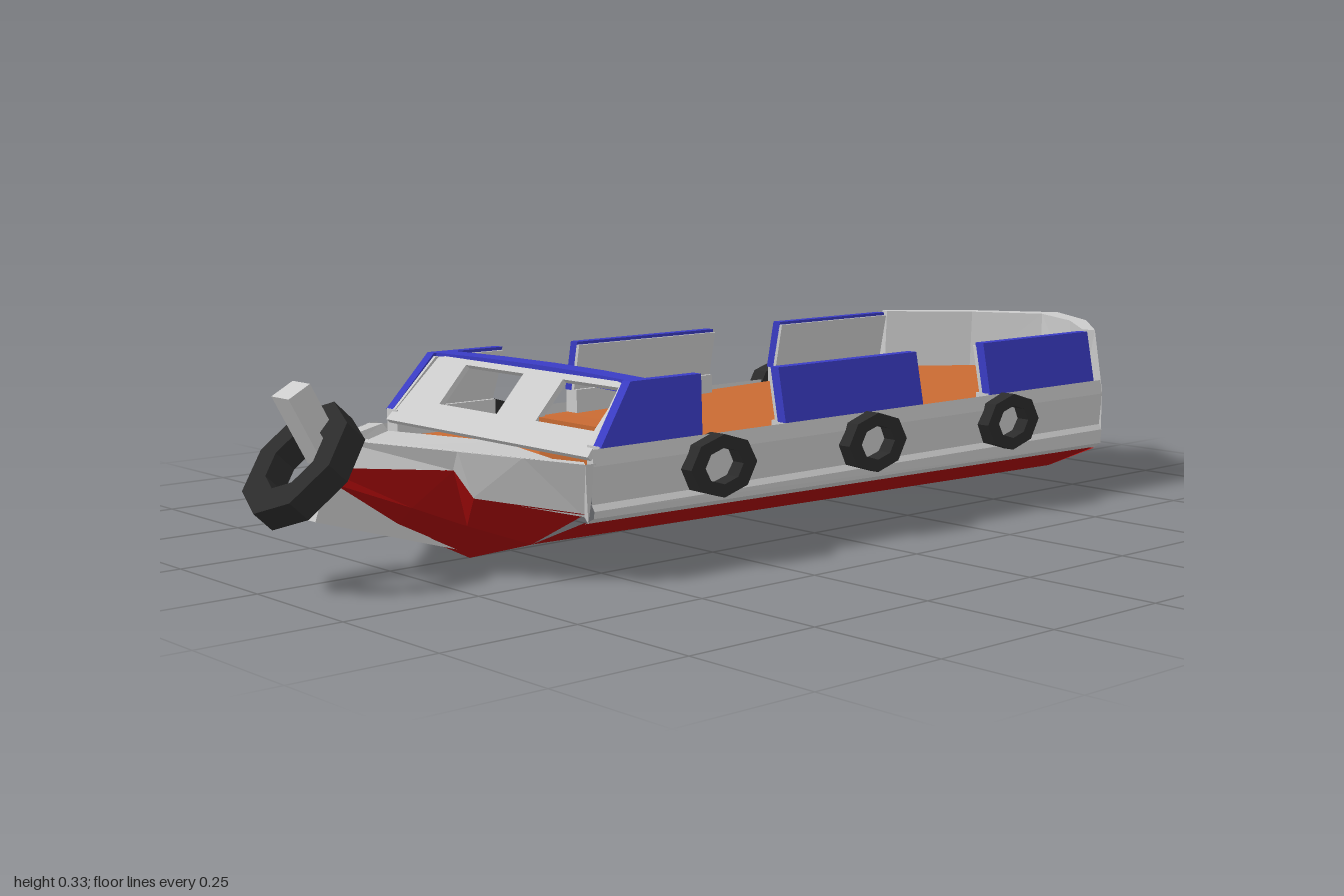
import * as THREE from 'three';

const mat = (color, side = THREE.DoubleSide) => new THREE.MeshStandardMaterial({ color, flatShading: true, side });
const GREY = mat(0xcccccc), RED = mat(0xaa0a0a), BLUE = mat(0x3a3cc4), ORANGE = mat(0xc86a32), RUBBER = mat(0x2b2b2b);
const GREY_OUTSIDE = mat(0xcccccc, THREE.FrontSide);

// Surface through rows of [x, y, z] points; the mirrored copy flips z and the winding
function loft(rows, mirror = false) {
  const pos = [];
  const tri = (p, q, r) => (mirror ? [p, r, q] : [p, q, r]).forEach(([x, y, z]) => pos.push(x, y, mirror ? -z : z));
  for (let i = 0; i + 1 < rows.length; i++) {
    for (let j = 0; j + 1 < rows[i].length; j++) {
      const a = rows[i][j], b = rows[i + 1][j], c = rows[i + 1][j + 1], d = rows[i][j + 1];
      tri(a, b, d);
      tri(b, c, d);
    }
  }
  const g = new THREE.BufferGeometry();
  g.setAttribute('position', new THREE.Float32BufferAttribute(pos, 3));
  g.computeVertexNormals();
  return g;
}

const points2 = (points) => points.map(([x, y]) => new THREE.Vector2(x, y));

// Plate cut from an x-y outline, from z to z + depth
function plate(points, z, depth) {
  return new THREE.ExtrudeGeometry(new THREE.Shape(points2(points)), { depth, bevelEnabled: false }).translate(0, 0, z);
}

// Eight-sided tyre facing z, with a square-cut tread
function tyre(rx, ry, hole, depth) {
  const ring = (k) => points2(Array.from({ length: 8 }, (_, i) => {
    const a = (i * Math.PI) / 4;
    return [Math.cos(a) * rx * k, Math.sin(a) * ry * k];
  }));
  const s = new THREE.Shape(ring(1));
  s.holes.push(new THREE.Path(ring(hole)));
  return new THREE.ExtrudeGeometry(s, { depth, bevelEnabled: false }).translate(0, 0, -depth / 2);
}

export function createModel() {
  const model = new THREE.Group();
  const add = (name, geometry, material) => {
    const m = new THREE.Mesh(geometry, material);
    m.name = name;
    m.position.z = 0.004;
    model.add(m);
    return m;
  };
  const both = (name, rows, material) => {
    add(name + 'Left', loft(rows), material);
    add(name + 'Right', loft(rows, true), material);
  };

  // Long hull sides with a shallow groove, and the sheer strake above them
  const side = (x, low) => [[x, low, 0.29], [x, low + 0.012, 0.314], [x, 0.122, 0.316], [x, 0.132, 0.309], [x, 0.195, 0.315]];
  both('hullSide', [side(-0.57, 0.098), side(0.75, 0.082)], GREY);
  both('sheerStrake', [
    [[-0.57, 0.195, 0.315], [-0.57, 0.222, 0.31]],
    [[0.75, 0.195, 0.315], [0.75, 0.222, 0.31]],
  ], GREY_OUTSIDE);

  // Red bottom strakes, open along the middle
  both('bottomStrake', [
    [[-0.59, 0.05, 0.175], [-0.57, 0.1, 0.29]],
    [[0.76, 0.03, 0.175], [0.76, 0.082, 0.29]],
  ], RED);

  // High faceted end at +x: outside, rim and inner wall
  both('highBow', [
    [[0.778, 0.12, 0.29], [0.75, 0.2, 0.315], [0.75, 0.322, 0.293], [0.74, 0.322, 0.27], [0.74, 0.19, 0.275]],
    [[0.89, 0.093, 0.172], [0.91, 0.185, 0.172], [0.9, 0.322, 0.155], [0.87, 0.322, 0.135], [0.87, 0.19, 0.14]],
    [[0.89, 0.093, 0], [1, 0.185, 0], [1, 0.322, 0], [0.945, 0.322, 0], [0.945, 0.19, 0]],
  ], GREY);
  both('bowCheek', [
    [[0.75, 0.082, 0.29], [0.75, 0.094, 0.314], [0.75, 0.2, 0.315]],
    [[0.76, 0.08, 0.29], [0.778, 0.12, 0.29], [0.75, 0.2, 0.315]],
  ], GREY);
  both('bowWallEnd', [
    [[0.75, 0.2, 0.315], [0.75, 0.322, 0.293]],
    [[0.74, 0.19, 0.275], [0.74, 0.322, 0.27]],
  ], GREY);
  both('bowBottom', [
    [[0.76, 0, 0], [0.76, 0.03, 0.175], [0.76, 0.08, 0.29], [0.778, 0.12, 0.29]],
    [[0.89, 0.093, 0], [0.89, 0.093, 0.172], [0.89, 0.093, 0.172], [0.89, 0.093, 0.172]],
  ], RED);

  // Low pointed end at -x: grey sides, red bottom, sunken deck inside a rim
  both('noseSide', [
    [[-0.88, 0.19, 0], [-0.86, 0.235, 0]],
    [[-0.72, 0.185, 0.14], [-0.72, 0.218, 0.153]],
    [[-0.7, 0.14, 0.165], [-0.65, 0.209, 0.234]],
    [[-0.57, 0.11, 0.29], [-0.585, 0.2, 0.312]],
    [[-0.57, 0.1, 0.3], [-0.565, 0.2, 0.315]],
  ], GREY);
  both('noseBottom', [
    [[-0.88, 0.165, 0], [-0.88, 0.17, 0], [-0.88, 0.19, 0]],
    [[-0.74, 0.075, 0], [-0.76, 0.12, 0.08], [-0.72, 0.185, 0.142]],
    [[-0.67, 0.04, 0], [-0.68, 0.085, 0.12], [-0.7, 0.14, 0.168]],
    [[-0.59, 0, 0], [-0.59, 0.05, 0.175], [-0.57, 0.115, 0.293]],
  ], RED);
  both('noseRimAndDeck', [
    [[-0.86, 0.235, 0], [-0.83, 0.235, 0], [-0.82, 0.218, 0], [-0.82, 0.218, 0]],
    [[-0.585, 0.2, 0.312], [-0.57, 0.2, 0.29], [-0.565, 0.187, 0.28], [-0.52, 0.195, 0]],
  ], GREY);
  add('noseKeel', plate([[-0.87, 0.19], [-0.9, 0.105], [-0.62, 0.02], [-0.64, 0.06]], -0.012, 0.024), GREY);

  // Deck floor, dropping gently towards the low end
  const halfFloor = [[[-0.56, 0.168, 0.303], [-0.56, 0.168, 0]], [[0.745, 0.2, 0.303], [0.745, 0.2, 0]],
    [[0.875, 0.203, 0.14], [0.875, 0.203, 0]], [[0.946, 0.205, 0], [0.946, 0.205, 0]]];
  both('deckFloor', halfFloor, ORANGE);

  // Side panels leaning inwards: blue outside, grey lining, grey ledge below
  const panels = [
    [[-0.55, 0.222], [-0.33, 0.222], [-0.315, 0.322], [-0.47, 0.322]],
    [[-0.135, 0.222], [0.22, 0.222], [0.22, 0.318], [-0.135, 0.318]],
    [[0.41, 0.222], [0.73, 0.222], [0.73, 0.32], [0.41, 0.32]],
  ];
  for (const s of [1, -1]) {
    const lean = new THREE.Matrix4().set(1, 0, 0, 0, 0, 1, 0, 0, 0, -0.2 * s, 1, 0.044 * s, 0, 0, 0, 1);
    panels.forEach((p, i) => {
      const lining = p.map(([x, y]) => [x, y > 0.3 ? y - 0.006 : y]);
      const [x0, x1] = [p[0][0], p[1][0]];
      const ledge = [[x0, 0.175], [x1, 0.175], [x1, 0.224], [x0, 0.224]];
      add('sidePanel' + i, plate(p, s * 0.299 - 0.01, 0.02).applyMatrix4(lean), BLUE);
      add('panelLining' + i, plate(lining, s * 0.286 - 0.004, 0.008).applyMatrix4(lean), GREY);
      add('panelLedge' + i, plate(ledge, s * 0.289 - 0.016, 0.032), GREY);
    });
  }

  // Sloping windscreen frame with two openings
  const frame = new THREE.Shape(points2([[-0.29, 0], [0.29, 0], [0.275, 0.15], [-0.275, 0.15]]));
  for (const [a, b] of [[-0.265, -0.11], [0, 0.17]]) {
    frame.holes.push(new THREE.Path(points2([[a, 0.05], [a, 0.138], [b, 0.138], [b, 0.05]])));
  }
  const screen = new THREE.Mesh(new THREE.ExtrudeGeometry(frame, { depth: 0.01, bevelEnabled: false }), GREY);
  screen.name = 'windscreenFrame';
  screen.rotation.x = -0.74;
  const windscreen = new THREE.Group();
  windscreen.name = 'windscreen';
  windscreen.add(screen);
  windscreen.rotation.y = Math.PI / 2;
  windscreen.scale.z = -1;
  windscreen.position.set(-0.555, 0.2, 0.004);
  model.add(windscreen);

  // Blue bar over the windscreen, slightly bowed
  const bar = [0.285, 0.14, 0, -0.14, -0.285].map((z) => {
    const x = -0.42 - 0.3 * z * z;
    return [[x - 0.022, 0.3, z], [x + 0.02, 0.3, z], [x + 0.02, 0.322, z], [x - 0.022, 0.322, z], [x - 0.022, 0.3, z]];
  });
  add('windscreenBar', loft(bar), BLUE);

  // Helm console and seat
  add('console', new THREE.BoxGeometry(0.06, 0.08, 0.15).translate(-0.495, 0.21, 0.19), ORANGE);
  add('helmSeat', new THREE.BoxGeometry(0.045, 0.06, 0.04).translate(-0.385, 0.2, 0.16), ORANGE);

  // Tyre fenders along both sides
  for (const [x, y, z] of [[-0.307, 0.17, 0.325], [0.068, 0.17, 0.325], [0.445, 0.17, 0.325],
    [-0.333, 0.173, -0.325], [0.06, 0.173, -0.325], [0.463, 0.173, -0.325]]) {
    add('sideTyre', tyre(0.075, 0.054, 0.58, 0.036), RUBBER).position.set(x, y, z);
  }

  // Tilted nose tyre and its post
  const noseTyre = add('noseTyre', tyre(0.102, 0.112, 0.55, 0.045).rotateY(Math.PI / 2), RUBBER);
  noseTyre.rotation.z = -0.75;
  noseTyre.position.set(-0.92, 0.2, 0.018);
  const post = add('nosePost', new THREE.BoxGeometry(0.045, 0.13, 0.052), GREY);
  post.rotation.z = 0.5;
  post.position.set(-0.905, 0.265, 0.013);

  return model;
}
